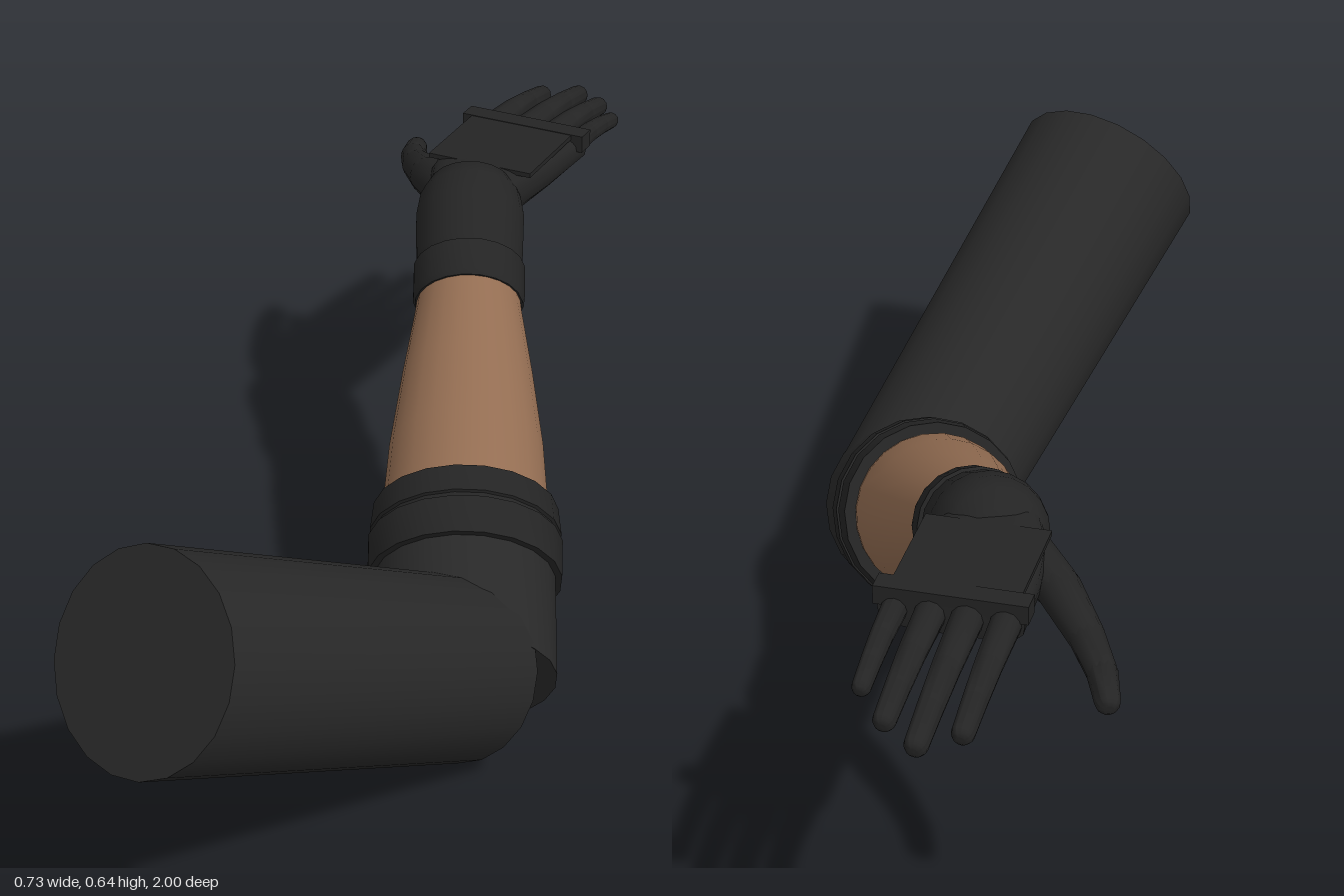
import * as THREE from 'three';
import { toCreasedNormals } from 'three/addons/utils/BufferGeometryUtils.js';

const V = (x, y, z) => new THREE.Vector3(x, y, z);
const UP = V(0, 1, 0);

const sleeveMat = new THREE.MeshStandardMaterial({ color: 0x282828 });
sleeveMat.name = 'charcoal sleeve';
const gloveMat = new THREE.MeshStandardMaterial({ color: 0x242424 });
gloveMat.name = 'black glove';
const skinMat = new THREE.MeshStandardMaterial({ color: 0x936d52 });
skinMat.name = 'brown skin';

function add(parent, name, geometry, material) {
  const mesh = new THREE.Mesh(geometry, material);
  mesh.name = name;
  parent.add(mesh);
  return mesh;
}

// Turned part whose axis starts at `origin` and runs along `dir`; profile is [radius, distance]
function turned(parent, name, profile, origin, dir, material, sides = 20) {
  const pts = profile.map(([r, t]) => new THREE.Vector2(r, t));
  const geo = toCreasedNormals(new THREE.LatheGeometry(pts, sides), 0.7);
  const mesh = add(parent, name, geo, material);
  mesh.position.copy(origin);
  mesh.quaternion.setFromUnitVectors(UP, dir.clone().normalize());
  return mesh;
}

// Tapered round-ended segment between two points
function segment(parent, name, a, b, ra, rb, material) {
  const dir = b.clone().sub(a);
  const len = dir.length();
  const profile = [];
  for (let i = 0; i <= 4; i++) {
    const u = (i / 4) * Math.PI / 2;
    profile.push([ra * Math.sin(u), -ra * Math.cos(u)]);
  }
  for (let i = 0; i <= 4; i++) {
    const u = (i / 4) * Math.PI / 2;
    profile.push([rb * Math.cos(u), len + rb * Math.sin(u)]);
  }
  return turned(parent, name, profile, a, dir, material, 12);
}

// Rounded-box cross-sections [x, y, z, halfWidth, halfHeight], running toward -z
function loft(sections, sides = 24, power = 0.6) {
  const pos = [], index = [];
  const bend = (v) => Math.sign(v) * Math.pow(Math.abs(v), power);
  for (const [x, y, z, w, h] of sections) {
    for (let j = 0; j < sides; j++) {
      const u = (j / sides) * Math.PI * 2;
      pos.push(x + w * bend(Math.cos(u)), y + h * bend(Math.sin(u)), z);
    }
  }
  for (let i = 0; i < sections.length - 1; i++) {
    for (let j = 0; j < sides; j++) {
      const k = (j + 1) % sides;
      const a = i * sides + j, b = i * sides + k;
      index.push(a, a + sides, b, b, a + sides, b + sides);
    }
  }
  const geo = new THREE.BufferGeometry();
  geo.setAttribute('position', new THREE.Float32BufferAttribute(pos, 3));
  geo.setIndex(index);
  return toCreasedNormals(geo, 0.7);
}

export function createModel() {
  const arm = new THREE.Group();
  arm.name = 'arm';

  // Upper sleeve, shoulder to elbow
  const shoulder = V(0.027, 0.484, 0.915);
  const elbowEnd = V(0.213, 0.143, 0.265);
  const upper = elbowEnd.clone().sub(shoulder);
  const upperLen = upper.length();
  turned(arm, 'upperSleeve',
    [[0, 0], [0.167, 0], [0.147, upperLen], [0, upperLen]],
    shoulder, upper, sleeveMat);

  // Lower sleeve with a raised two-band cuff
  const elbow = V(0.22, 0.132, 0.27);
  const foreDir = V(-0.367, 0.478, -0.8);
  turned(arm, 'lowerSleeve',
    [[0, 0], [0.148, 0], [0.145, 0.19], [0.1, 0.2]],
    elbow, foreDir, sleeveMat);
  turned(arm, 'sleeveCuff',
    [[0.14, 0.175], [0.156, 0.175], [0.157, 0.24], [0.15, 0.242],
      [0.15, 0.25], [0.155, 0.252], [0.15, 0.3], [0.125, 0.3]],
    elbow, foreDir, gloveMat);

  // Bare forearm
  turned(arm, 'forearm',
    [[0.13, 0.26], [0.133, 0.32], [0.126, 0.42], [0.108, 0.56], [0.09, 0.68], [0.08, 0.76]],
    elbow, foreDir, skinMat, 24);

  // Glove: wrist bands, closing with a rounded end over the hand
  const glove = new THREE.Group();
  glove.name = 'glove';
  arm.add(glove);
  turned(glove, 'wristBand',
    [[0.078, 0.705], [0.09, 0.705], [0.094, 0.715], [0.094, 0.775], [0.086, 0.78]],
    elbow, foreDir, gloveMat);
  turned(glove, 'wristCover',
    [[0.086, 0.77], [0.09, 0.79], [0.092, 0.88], [0.086, 0.92],
      [0.07, 0.95], [0.04, 0.97], [0, 0.975]],
    elbow, foreDir, gloveMat);

  // Palm
  add(glove, 'palm', loft([
    [-0.11, 0.57, -0.43, 0, 0],
    [-0.11, 0.57, -0.43, 0.07, 0.05],
    [-0.124, 0.578, -0.5, 0.084, 0.042],
    [-0.123, 0.582, -0.6, 0.1, 0.036],
    [-0.12, 0.585, -0.715, 0.108, 0.031],
    [-0.12, 0.585, -0.72, 0, 0],
  ]), gloveMat);

  // Back panel and knuckle strap
  const panel = add(glove, 'backPanel', new THREE.BoxGeometry(0.19, 0.008, 0.2), gloveMat);
  panel.position.set(-0.122, 0.615, -0.61);
  const strap = add(glove, 'knuckleStrap', new THREE.BoxGeometry(0.228, 0.03, 0.035), gloveMat);
  strap.position.set(-0.12, 0.605, -0.7);

  // Fingers: base x, tip x, tip z, radius
  const fingers = [
    ['indexFinger', -0.2, -0.2, -0.963, 0.024],
    ['middleFinger', -0.144, -0.144, -1.0, 0.025],
    ['ringFinger', -0.09, -0.088, -0.96, 0.024],
    ['littleFinger', -0.037, -0.038, -0.898, 0.02],
  ];
  for (const [name, x0, x1, tip, r] of fingers) {
    const finger = new THREE.Group();
    finger.name = name;
    glove.add(finger);
    const base = V(x0, 0.585, -0.7);
    const end = V(x1, 0.585 - (-0.7 - tip) * 0.11, tip + r * 0.72);
    const at = (u) => base.clone().lerp(end, u).add(V(0, 0.006 * Math.sin(u * Math.PI), 0));
    const cuts = [0, 0.45, 0.75, 1];
    for (let i = 0; i < 3; i++) {
      segment(finger, 'fingerJoint', at(cuts[i]), at(cuts[i + 1]),
        r * (1 - 0.28 * cuts[i]), r * (1 - 0.28 * cuts[i + 1]), gloveMat);
    }
  }

  // Thumb
  const thumb = new THREE.Group();
  thumb.name = 'thumb';
  glove.add(thumb);
  const path = [V(-0.18, 0.565, -0.5), V(-0.238, 0.552, -0.555), V(-0.3, 0.527, -0.635),
    V(-0.336, 0.512, -0.695), V(-0.356, 0.502, -0.748)];
  const radii = [0.04, 0.034, 0.027, 0.023, 0.019];
  for (let i = 0; i < 4; i++) {
    segment(thumb, 'thumbJoint', path[i], path[i + 1], radii[i], radii[i + 1], gloveMat);
  }

  return arm;
}
